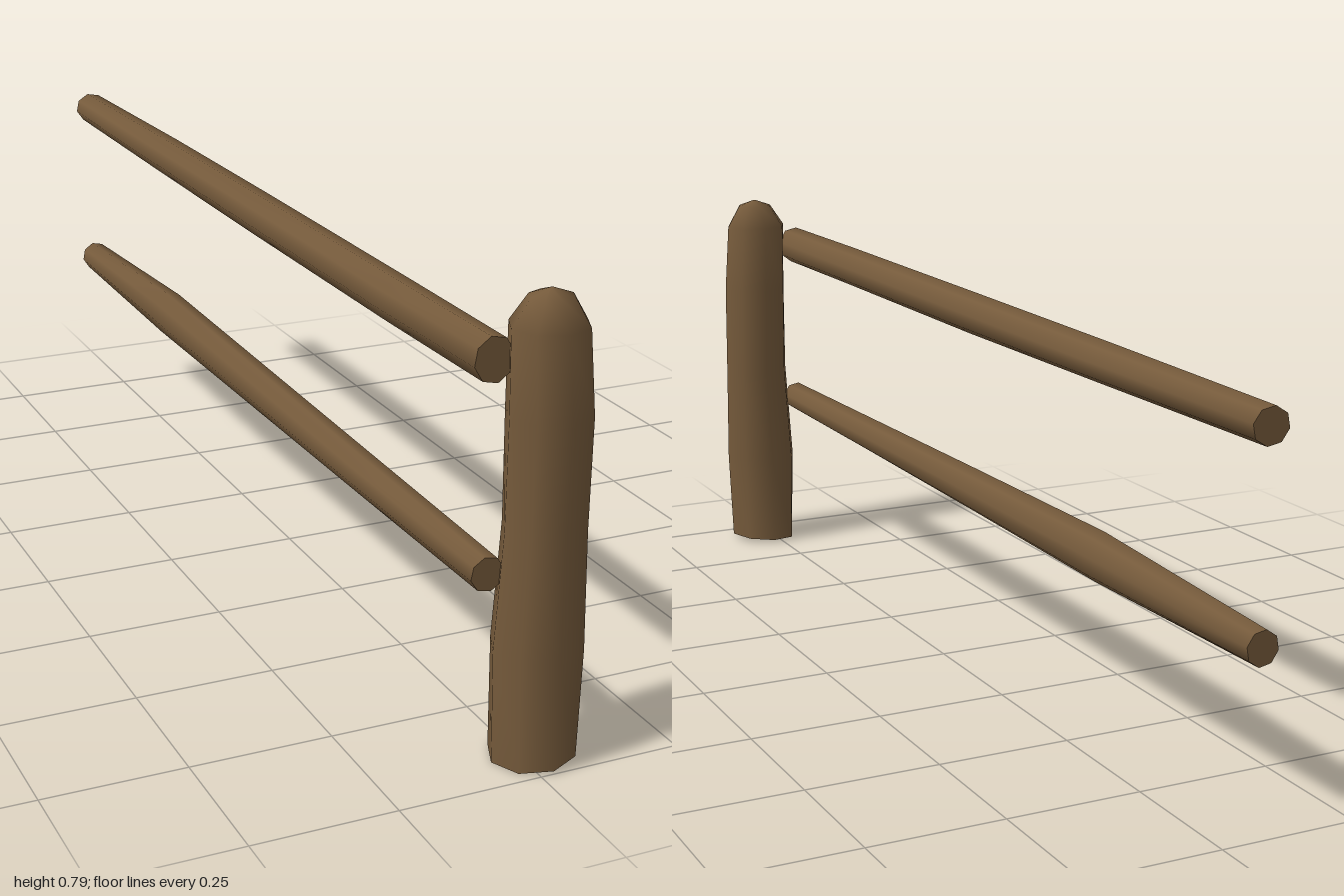
import * as THREE from 'three';

// Closed loft: each section is [t, u, v, ru, rv], with t along the axis.
// place(t, u, v) gives the point; u x v points along t.
function loft(sections, sides, turn, place) {
  const pos = [], index = [];
  const ring = ([t, u, v, ru, rv]) => {
    const start = pos.length / 3;
    for (let j = 0; j < sides; j++) {
      const a = (j / sides) * Math.PI * 2 + turn;
      pos.push(...place(t, u + ru * Math.cos(a), v + rv * Math.sin(a)));
    }
    return start;
  };
  const starts = sections.map(ring);
  for (let i = 0; i + 1 < starts.length; i++) {
    for (let j = 0; j < sides; j++) {
      const k = (j + 1) % sides, a = starts[i], b = starts[i + 1];
      index.push(a + j, a + k, b + j, a + k, b + k, b + j);
    }
  }
  // End caps with their own vertices, so the rims stay sharp
  for (const [s, end] of [[sections[0], false], [sections[sections.length - 1], true]]) {
    const a = ring(s), c = pos.length / 3;
    pos.push(...place(s[0], s[1], s[2]));
    for (let j = 0; j < sides; j++) {
      const k = (j + 1) % sides;
      if (end) index.push(c, a + j, a + k);
      else index.push(c, a + k, a + j);
    }
  }
  const g = new THREE.BufferGeometry();
  g.setAttribute('position', new THREE.Float32BufferAttribute(pos, 3));
  g.setIndex(index);
  g.computeVertexNormals();
  return g;
}

export function createModel() {
  const group = new THREE.Group();
  const wood = new THREE.MeshStandardMaterial({ color: 0x755a3b });
  wood.name = 'brown wood';
  const add = (name, geometry) => {
    const mesh = new THREE.Mesh(geometry, wood);
    mesh.name = name;
    group.add(mesh);
  };

  // Upright post with a rounded top and a slightly uneven foot (u = z, v = x)
  add('post', loft([
    [0.00, 0.928, 0.022, 0.073, 0.073],
    [0.20, 0.930, 0.023, 0.072, 0.079],
    [0.40, 0.927, 0.030, 0.065, 0.071],
    [0.59, 0.929, 0.029, 0.071, 0.070],
    [0.73, 0.929, 0.023, 0.062, 0.066],
    [0.775, 0.929, 0.025, 0.036, 0.037],
    [0.787, 0.929, 0.025, 0.004, 0.004],
  ], 8, 0, (t, u, v) => [u === undefined ? 0 : v, t < 0.1 ? 0.006 + (v - 0.022) * 0.08 : t, u]));

  // Two long rails running back from the post (u = x, v = y)
  const alongZ = (t, u, v) => [u, v, t];
  add('topRail', loft([
    [-1.00, -0.061, 0.675, 0.034, 0.032],
    [-0.50, -0.061, 0.677, 0.040, 0.036],
    [0.00, -0.062, 0.678, 0.040, 0.039],
    [0.60, -0.065, 0.681, 0.040, 0.039],
    [0.92, -0.064, 0.682, 0.035, 0.039],
  ], 8, 0.2, alongZ));
  add('lowerRail', loft([
    [-1.00, -0.061, 0.323, 0.030, 0.031],
    [-0.50, -0.061, 0.331, 0.038, 0.046],
    [0.00, -0.063, 0.331, 0.036, 0.040],
    [0.50, -0.064, 0.330, 0.034, 0.034],
    [0.92, -0.064, 0.329, 0.030, 0.030],
  ], 8, 0.2, alongZ));

  return group;
}
